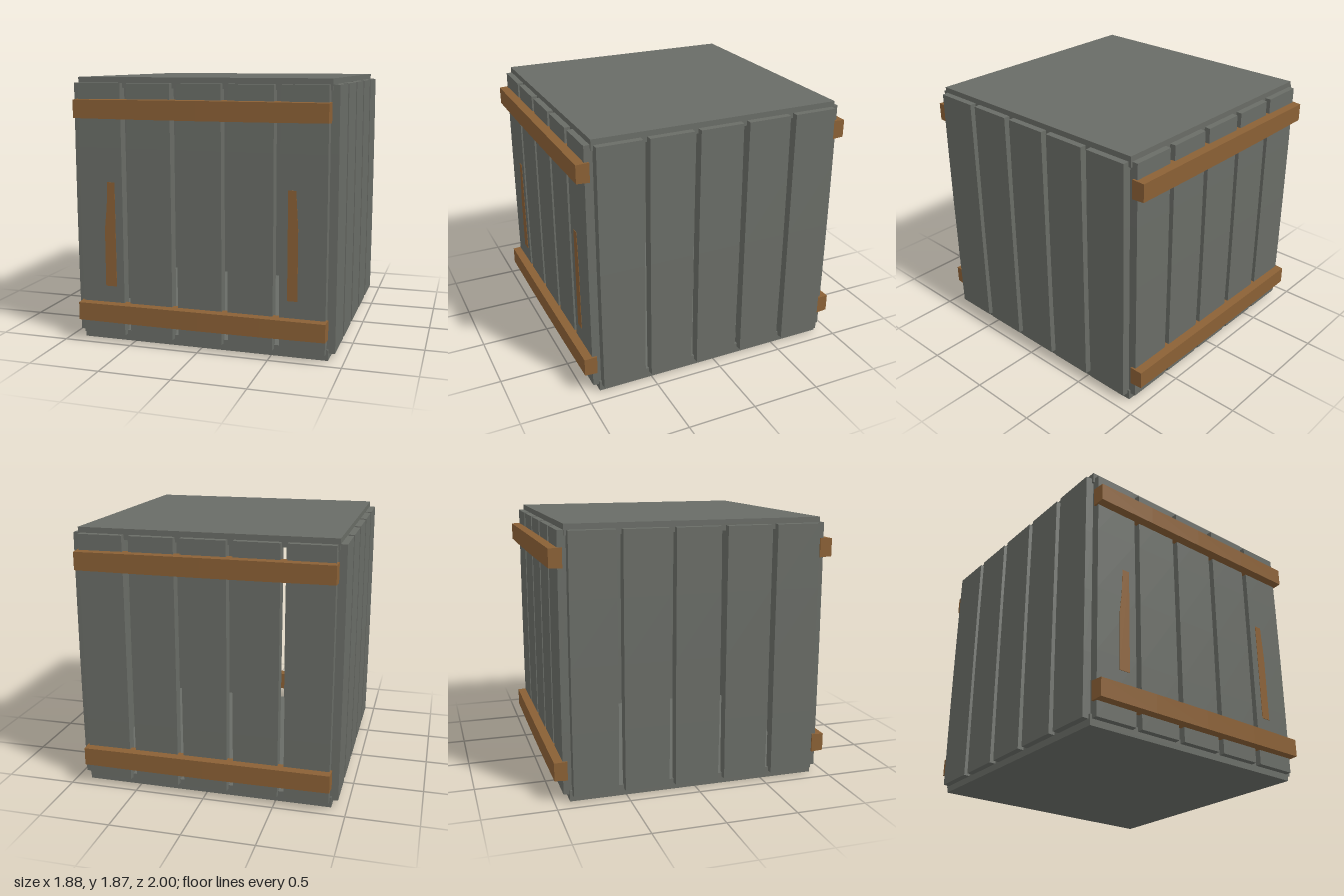
import * as THREE from 'three';

const paintedWood = new THREE.MeshStandardMaterial({ color: 0x696c66 });
paintedWood.name = 'grey painted wood';
const bareWood = new THREE.MeshStandardMaterial({ color: 0x8a6035 });
bareWood.name = 'brown bare wood';
paintedWood.flatShading = bareWood.flatShading = true;

// Board along y with its outer face on +z: slightly bowed and narrowed at the outer edges and ends
function boardGeometry(width, length, depth, bow = 0.004, taper = 0.006) {
  const geometry = new THREE.BoxGeometry(width, length, depth, 1, 4, 1);
  const p = geometry.attributes.position;
  for (let i = 0; i < p.count; i++) {
    const x = p.getX(i), y = p.getY(i), z = p.getZ(i);
    const t = y / (length / 2);
    const inset = z > 0 ? taper : 0;
    p.setX(i, x - Math.sign(x) * (inset + bow * t * t));
    if (Math.abs(t) > 0.99) p.setY(i, y - Math.sign(y) * inset);
    if (z > 0) p.setZ(i, z - bow * t * t);
  }
  geometry.computeVertexNormals();
  return geometry;
}

function addMesh(parent, name, geometry, material, x, y, z) {
  const mesh = new THREE.Mesh(geometry, material);
  mesh.name = name;
  mesh.position.set(x, y, z);
  parent.add(mesh);
  return mesh;
}

export function createModel() {
  const crate = new THREE.Group();
  crate.name = 'crate';

  // Solid lid and floor
  const panel = new THREE.BoxGeometry(1.785, 0.075, 1.79);
  addMesh(crate, 'lid', panel, paintedWood, 0, 1.84, 0);
  addMesh(crate, 'floor', panel, paintedWood, 0, 0.0425, 0);

  // Four walls of five upright slats with open gaps between
  const slat = boardGeometry(0.325, 1.79, 0.07, 0.003, 0.003);
  ['front', 'left', 'back', 'right'].forEach((side, k) => {
    const wall = new THREE.Group();
    wall.name = side + 'Wall';
    wall.rotation.y = k * Math.PI / 2;
    for (let i = -2; i <= 2; i++) addMesh(wall, side + 'Slat', slat, paintedWood, i * 0.36, 0.945, 0.904);
    crate.add(wall);
  });

  // Horizontal battens across front and back
  const batten = boardGeometry(0.14, 1.785, 0.093, 0.003, 0.004);
  for (const side of [1, -1]) {
    const pair = new THREE.Group();
    pair.name = side > 0 ? 'frontBattens' : 'backBattens';
    pair.rotation.y = side > 0 ? 0 : Math.PI;
    for (const y of [0.225, 1.662]) {
      addMesh(pair, 'batten', batten, bareWood, 0, y, 0.9535).rotation.z = Math.PI / 2;
    }
    crate.add(pair);
  }

  // Thin bare strips on the outer front slats
  const strips = {
    rightStrip: [[-0.7, 0.41], [-0.617, 0.41], [-0.617, 1.155], [-0.672, 1.155], [-0.68, 0.98], [-0.698, 0.82]],
    leftStrip: [[0.618, 0.41], [0.688, 0.41], [0.688, 0.9], [0.672, 1.155], [0.618, 1.155]],
  };
  for (const [name, points] of Object.entries(strips)) {
    const shape = new THREE.Shape(points.map(([x, y]) => new THREE.Vector2(x, y)));
    const geometry = new THREE.ExtrudeGeometry(shape, { depth: 0.006, bevelEnabled: false });
    addMesh(crate, name, geometry, bareWood, 0, 0, 0.935);
  }

  return crate;
}
